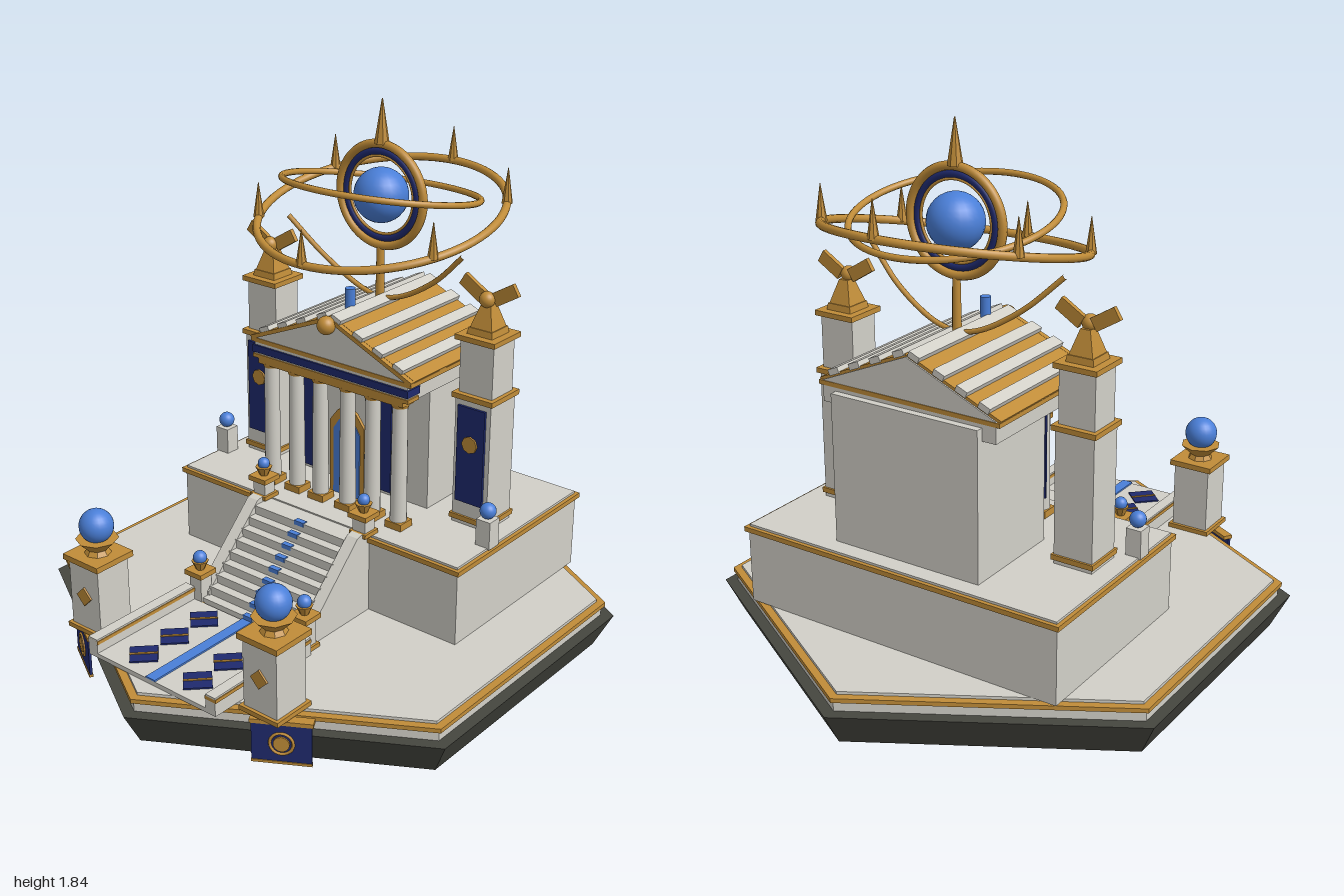
import * as THREE from 'three';

const mat = (name, color, extra = {}) => Object.assign(new THREE.MeshStandardMaterial({ color, ...extra }), { name });

export function createModel() {
  const root = new THREE.Group();
  root.name = 'hilltopTemple';
  const stone = mat('paleStone', 0xd2d0c8);
  const gold = mat('gold', 0xc08c38);
  const navy = mat('navyCloth', 0x1f2a6e);
  const blue = mat('blueGlow', 0x4a7fd8);
  const dark = mat('darkRock', 0x45463f);
  const SIDES = [1, -1];

  const add = (name, geo, m, x = 0, y = 0, z = 0, parent = root) => {
    const mesh = new THREE.Mesh(geo, m);
    mesh.name = name;
    mesh.position.set(x, y, z);
    parent.add(mesh);
    return mesh;
  };
  // box given by centre x, bottom y, top y, centre z
  const box = (name, m, x, y0, y1, z, w, d, parent) =>
    add(name, new THREE.BoxGeometry(w, y1 - y0, d), m, x, (y0 + y1) / 2, z, parent);
  const cyl = (name, m, x, y0, y1, z, r0, r1, n = 16, parent) => {
    let g = new THREE.CylinderGeometry(r1, r0, y1 - y0, n);
    if (n === 4) g.rotateY(Math.PI / 4);
    if (n <= 8) g = g.toNonIndexed(), g.computeVertexNormals();
    return add(name, g, m, x, (y0 + y1) / 2, z, parent);
  };
  const ball = (name, m, x, y, z, r, parent) => add(name, new THREE.SphereGeometry(r, 24, 16), m, x, y, z, parent);
  const shape = pts => new THREE.Shape(pts.map(p => new THREE.Vector2(...p)));
  const extrude = (pts, depth) => new THREE.ExtrudeGeometry(shape(pts), { depth, bevelEnabled: false });
  const group = (name, x, y, z) => {
    const g = new THREE.Group();
    g.name = name;
    g.position.set(x, y, z);
    root.add(g);
    return g;
  };

  // Hexagonal island base
  cyl('baseRock', dark, 0, 0, 0.12, 0, 0.935, 1, 6);
  cyl('basePaving', stone, 0, 0.12, 0.155, 0, 0.955, 0.955, 6);
  cyl('baseTrim', gold, 0, 0.155, 0.17, 0, 0.968, 0.968, 6);
  cyl('baseTop', stone, 0, 0.17, 0.18, 0, 0.938, 0.938, 6);

  // Podium
  box('podium', stone, 0, 0.18, 0.44, -0.278, 1.21, 0.722);
  box('podiumTrim', gold, 0, 0.44, 0.457, -0.278, 1.232, 0.744);
  box('podiumTop', stone, 0, 0.457, 0.465, -0.278, 1.205, 0.717);

  // Temple hall, columns and entablature
  box('hall', stone, 0, 0.46, 0.98, -0.385, 0.56, 0.38);
  for (const x of [0.06, 0.167, 0.28]) for (const s of SIDES) {
    box('columnBase', gold, s * x, 0.465, 0.49, -0.03, 0.068, 0.064);
    cyl('column', stone, s * x, 0.49, 0.915, -0.03, 0.029, 0.026, 20);
    cyl('columnCapital', gold, s * x, 0.905, 0.92, -0.03, 0.028, 0.033, 20);
  }
  box('architrave', gold, 0, 0.917, 0.937, -0.03, 0.625, 0.064);
  box('entablature', stone, 0, 0.937, 1.0, -0.275, 0.66, 0.55);
  box('friezeLowerTrim', gold, 0, 0.937, 0.95, -0.025, 0.672, 0.06);
  box('frieze', navy, 0, 0.957, 0.983, -0.027, 0.672, 0.068);
  box('cornice', gold, 0, 0.993, 1.008, -0.275, 0.69, 0.555);

  // Gabled roof with raised ribs
  add('gable', extrude([[-0.34, 1.005], [0.34, 1.005], [0, 1.15]], 0.55), stone, 0, 0, -0.55);
  const slope = Math.atan2(0.145, 0.34);
  for (const s of SIDES) {
    const side = group('roofSlope', 0, 1.15, -0.275);
    side.rotation.z = -s * slope;
    box('roofPanel', gold, s * 0.186, 0, 0.01, -0.005, 0.372, 0.53, side);
    box('gableRake', gold, s * 0.186, -0.004, 0.01, 0.27, 0.374, 0.018, side);
    for (const d of [0.025, 0.125, 0.215, 0.305])
      box('roofRib', stone, s * d, 0.005, 0.026, 0, 0.042, 0.55, side);
  }
  ball('gableOrb', gold, 0, 1.133, 0.012, 0.032);

  // Doorway, hanging cloths and light beam
  const arch = (w, h) => [[-w, 0], [w, 0], [w, h * 0.8], [w * 0.55, h * 0.93], [0, h], [-w * 0.55, h * 0.93], [-w, h * 0.8]];
  add('doorFrame', extrude(arch(0.075, 0.34), 0.012), gold, 0, 0.465, -0.112);
  add('door', extrude(arch(0.058, 0.305), 0.008), blue, 0, 0.465, -0.105);
  cyl('lightBeam', blue, 0, 0.8, 1.23, -0.115, 0.018, 0.018, 16);
  for (const s of SIDES) {
    box('porchCloth', navy, s * 0.17, 0.55, 0.89, -0.075, 0.085, 0.008);
    box('porchClothRod', gold, s * 0.17, 0.885, 0.9, -0.075, 0.095, 0.016);
  }

  // Corner towers with finials and banners
  for (const s of SIDES) {
    const t = group('tower', s * 0.465, 0, -0.25);
    box('towerShaft', stone, 0, 0.46, 0.925, 0, 0.14, 0.14, t);
    box('towerUpperShaft', stone, 0, 0.925, 1.13, 0, 0.13, 0.12, t);
    for (const [y, w] of [[0.48, 0.155], [0.922, 0.16], [1.125, 0.155]])
      box('towerBand', gold, 0, y, y + 0.018, 0, w, w, t);
    cyl('towerCap', gold, 0, 1.143, 1.165, 0, 0.07, 0.065, 4, t);
    cyl('towerSpire', gold, 0, 1.165, 1.245, 0, 0.06, 0.025, 4, t);
    ball('towerOrb', gold, 0, 1.26, 0.012, 0.027, t);
    for (const k of SIDES) {
      const arm = box('finialArm', gold, k * 0.062, 1.262, 1.308, 0, 0.095, 0.016, t);
      arm.rotation.z = k * 0.55;
    }
    box('towerBanner', navy, 0, 0.553, 0.9, 0.076, 0.108, 0.009, t);
    const disc = add('bannerDisc', new THREE.CylinderGeometry(0.03, 0.03, 0.008, 8), gold, 0, 0.77, 0.083, t);
    disc.rotation.x = Math.PI / 2;

    // Small orb posts on the podium
    box('orbPost', stone, s * 0.583, 0.46, 0.56, -0.115, 0.055, 0.055);
    ball('postOrb', blue, s * 0.583, 0.587, -0.115, 0.028);
  }

  // Staircase with glowing inlays and sloped side walls
  const N = 9, rise = 0.28 / N, run = 0.3 / N;
  box('stairLanding', stone, 0, 0.18, 0.46, 0.105, 0.44, 0.05);
  for (let i = 0; i < N; i++) {
    const top = 0.46 - i * rise, z1 = 0.125 + (i + 1) * run;
    box('step', stone, 0, 0.18, top, (0.125 + z1) / 2, 0.41, z1 - 0.125);
    box('stepInlay', blue, 0, top - 0.012, top + 0.004, z1 - 0.008, 0.04, 0.02);
  }
  const wall = extrude([[-0.4, 0.18], [-0.08, 0.18], [-0.08, 0.465], [-0.12, 0.48], [-0.145, 0.475], [-0.4, 0.225]], 0.045).rotateY(Math.PI / 2);
  const lamp = (x, z, y0, y1, r) => {
    box('lampFoot', gold, x, y0, y0 + 0.015, z, 0.07, 0.07);
    box('lampPost', stone, x, y0 + 0.015, y1, z, 0.052, 0.052);
    box('lampCap', gold, x, y1, y1 + 0.018, z, 0.076, 0.076);
    cyl('lampCup', gold, x, y1 + 0.018, y1 + 0.05, z, 0.015, 0.03, 8);
    ball('lampOrb', blue, x, y1 + 0.062, z, r);
  };
  for (const s of SIDES) {
    add('stairWall', wall, stone, s * 0.222 - 0.0225, 0, 0);
    lamp(s * 0.222, 0.085, 0.465, 0.528, 0.021);
    lamp(s * 0.233, 0.405, 0.18, 0.288, 0.024);
  }

  // Processional walkway
  box('walkway', stone, 0, 0.18, 0.196, 0.655, 0.5, 0.45);
  box('walkwayChannel', blue, 0, 0.196, 0.202, 0.655, 0.04, 0.45);
  for (const s of SIDES) {
    box('walkwayCurb', stone, s * 0.26, 0.18, 0.246, 0.655, 0.04, 0.45);
    box('curbTrim', gold, s * 0.26, 0.228, 0.24, 0.655, 0.046, 0.45);
    for (const z of [0.51, 0.65, 0.79]) {
      box('walkwayTile', navy, s * 0.12, 0.196, 0.201, z, 0.092, 0.092).rotation.y = Math.PI / 4;
      box('tileStripe', gold, s * 0.12, 0.199, 0.204, z, 0.092, 0.008).rotation.y = Math.PI / 4;
    }
  }

  // Front pedestals with great orbs, and banners on the island edge
  for (const s of SIDES) {
    const p = group('pedestal', s * 0.385, 0, 0.725);
    box('pedestalFoot', gold, 0, 0.18, 0.196, 0, 0.158, 0.158, p);
    box('pedestalBody', stone, 0, 0.196, 0.432, 0, 0.135, 0.135, p);
    box('pedestalCap', gold, 0, 0.432, 0.452, 0, 0.162, 0.162, p);
    cyl('orbStem', gold, 0, 0.452, 0.468, 0, 0.045, 0.035, 8, p);
    cyl('orbBowl', gold, 0, 0.468, 0.505, 0, 0.035, 0.072, 8, p);
    ball('greatOrb', blue, 0, 0.55, 0, 0.058, p);
    const lozenge = add('pedestalLozenge', new THREE.BoxGeometry(0.048, 0.048, 0.008), gold, 0, 0.315, 0.07, p);
    lozenge.rotation.z = Math.PI / 4;

    const b = group('edgeBanner', s * 0.443, 0, 0.762);
    b.rotation.y = s * Math.PI / 6;
    box('bannerCloth', navy, 0, 0.025, 0.165, 0, 0.19, 0.009, b);
    box('bannerRod', gold, 0, 0.162, 0.176, -0.01, 0.2, 0.034, b);
    box('bannerHem', gold, 0, 0.022, 0.031, 0, 0.192, 0.014, b);
    add('bannerRing', new THREE.TorusGeometry(0.037, 0.005, 6, 24), gold, 0, 0.095, 0.005, b);
    const boss = add('bannerBoss', new THREE.CylinderGeometry(0.026, 0.026, 0.008, 16), gold, 0, 0.095, 0.006, b);
    boss.rotation.x = Math.PI / 2;
  }

  // Celestial globe: mast, upright rings and two tilted orbits
  const sky = group('celestialGlobe', 0, 0, -0.277);
  const torus = (name, m, R, r, y, tilt) => {
    const t = add(name, new THREE.TorusGeometry(R, r, 10, 72), m, 0, y, 0, sky);
    t.rotation.x = tilt;
    return t;
  };
  ball('globe', blue, 0, 1.515, 0, 0.094, sky);
  cyl('mast', gold, 0, 1.13, 1.34, 0, 0.016, 0.013, 12, sky);
  cyl('crownSpike', gold, 0, 1.69, 1.84, 0, 0.026, 0.002, 8, sky);
  torus('uprightRing', gold, 0.174, 0.015, 1.515, 0);
  torus('innerRing', navy, 0.148, 0.012, 1.515, 0).scale.z = 0.7;
  torus('innerRingTrim', gold, 0.133, 0.005, 1.515, 0);
  const tilt = 0.213, R = 0.422;
  torus('greatOrbit', gold, R, 0.014, 1.463, Math.PI / 2 + tilt);
  torus('smallOrbit', gold, 0.335, 0.011, 1.54, Math.PI / 2 - 0.185);
  for (let i = 0; i < 6; i++) {
    const a = i * Math.PI / 3, z = R * Math.cos(a) * Math.cos(tilt);
    const y = 1.463 - R * Math.cos(a) * Math.sin(tilt);
    cyl('orbitSpike', gold, R * Math.sin(a), y, y + 0.12, z, 0.019, 0.001, 8, sky);
  }
  for (const s of SIDES) {
    const path = new THREE.CatmullRomCurve3([[0, 1.15, 0], [0.1, 1.18, 0], [0.24, 1.265, 0.015], [0.37, 1.385, 0.045]]
      .map(([x, y, z]) => new THREE.Vector3(s * x, y, z)));
    add('orbitStrut', new THREE.TubeGeometry(path, 20, 0.009, 8), gold, 0, 0, 0, sky);
  }
  return root;
}
